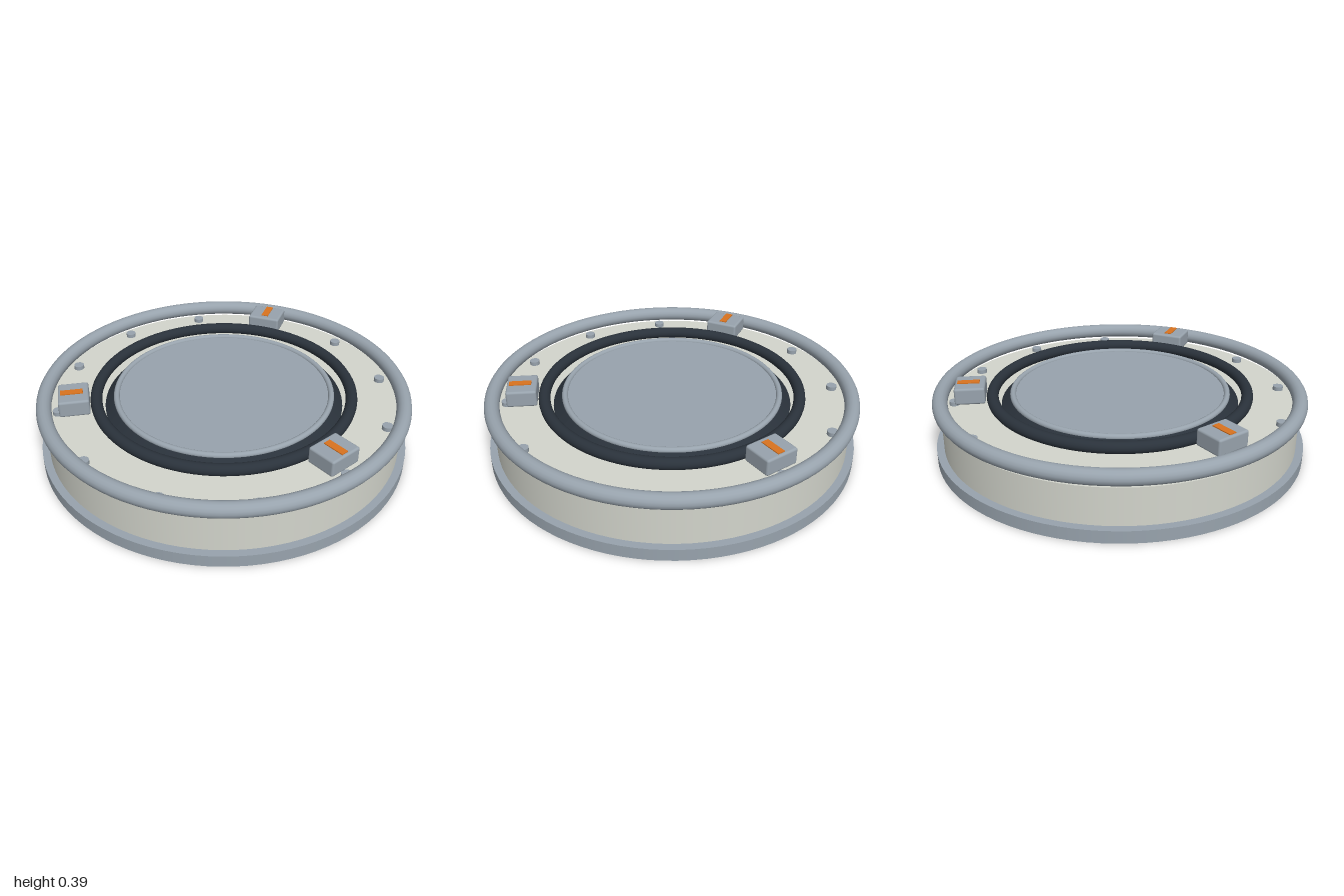
import * as THREE from 'three';
import { RoundedBoxGeometry } from 'three/addons/geometries/RoundedBoxGeometry.js';

const steel = new THREE.MeshStandardMaterial({ name: 'steel', color: 0x98a3ad });
const cream = new THREE.MeshStandardMaterial({ name: 'cream', color: 0xd3d5cc });
const rubber = new THREE.MeshStandardMaterial({ name: 'darkRubber', color: 0x2a323b });
const orange = new THREE.MeshStandardMaterial({ name: 'orange', color: 0xd9731f });

export function createModel() {
  const model = new THREE.Group();
  model.name = 'hatchRing';

  const add = (name, geometry, material, parent = model) => {
    const mesh = new THREE.Mesh(geometry, material);
    mesh.name = name;
    parent.add(mesh);
    return mesh;
  };
  // upright cylinder or frustum between two heights
  const drum = (name, rBottom, rTop, y0, y1, material, sides = 96) => {
    const mesh = add(name, new THREE.CylinderGeometry(rTop, rBottom, y1 - y0, sides), material);
    mesh.position.y = (y0 + y1) / 2;
    return mesh;
  };
  // horizontal ring
  const ring = (name, radius, tube, y, material) => {
    const geometry = new THREE.TorusGeometry(radius, tube, 16, 96).rotateX(Math.PI / 2);
    add(name, geometry, material).position.y = y;
  };

  // stacked body
  drum('baseFlange', 1, 1, 0, 0.065, steel);
  drum('body', 0.96, 0.96, 0.065, 0.262, cream);
  drum('collar', 0.642, 0.592, 0.262, 0.308, rubber);
  drum('hatchPlate', 0.58, 0.58, 0.29, 0.313, steel);

  // rings
  ring('hatchRim', 0.578, 0.016, 0.311, steel);
  ring('sealRing', 0.686, 0.031, 0.312, rubber);
  ring('outerRing', 0.96, 0.04, 0.315, steel);

  // bolt circle
  for (let i = 0; i < 12; i++) {
    const a = (i * Math.PI) / 6;
    const bolt = drum('bolt', 0.028, 0.028, 0.262, 0.284, steel, 16);
    bolt.position.x = 0.89 * Math.cos(a);
    bolt.position.z = 0.89 * Math.sin(a);
  }

  // three latches with painted marks
  for (let i = 0; i < 3; i++) {
    const latch = new THREE.Group();
    latch.name = 'latch';
    latch.rotation.y = (i * Math.PI * 2) / 3;
    add('latchBlock', new RoundedBoxGeometry(0.16, 0.09, 0.187, 2, 0.012), steel, latch)
      .position.set(0.8, 0.341, 0);
    add('latchMark', new THREE.BoxGeometry(0.116, 0.008, 0.04), orange, latch)
      .position.set(0.808, 0.387, 0);
    model.add(latch);
  }
  return model;
}
